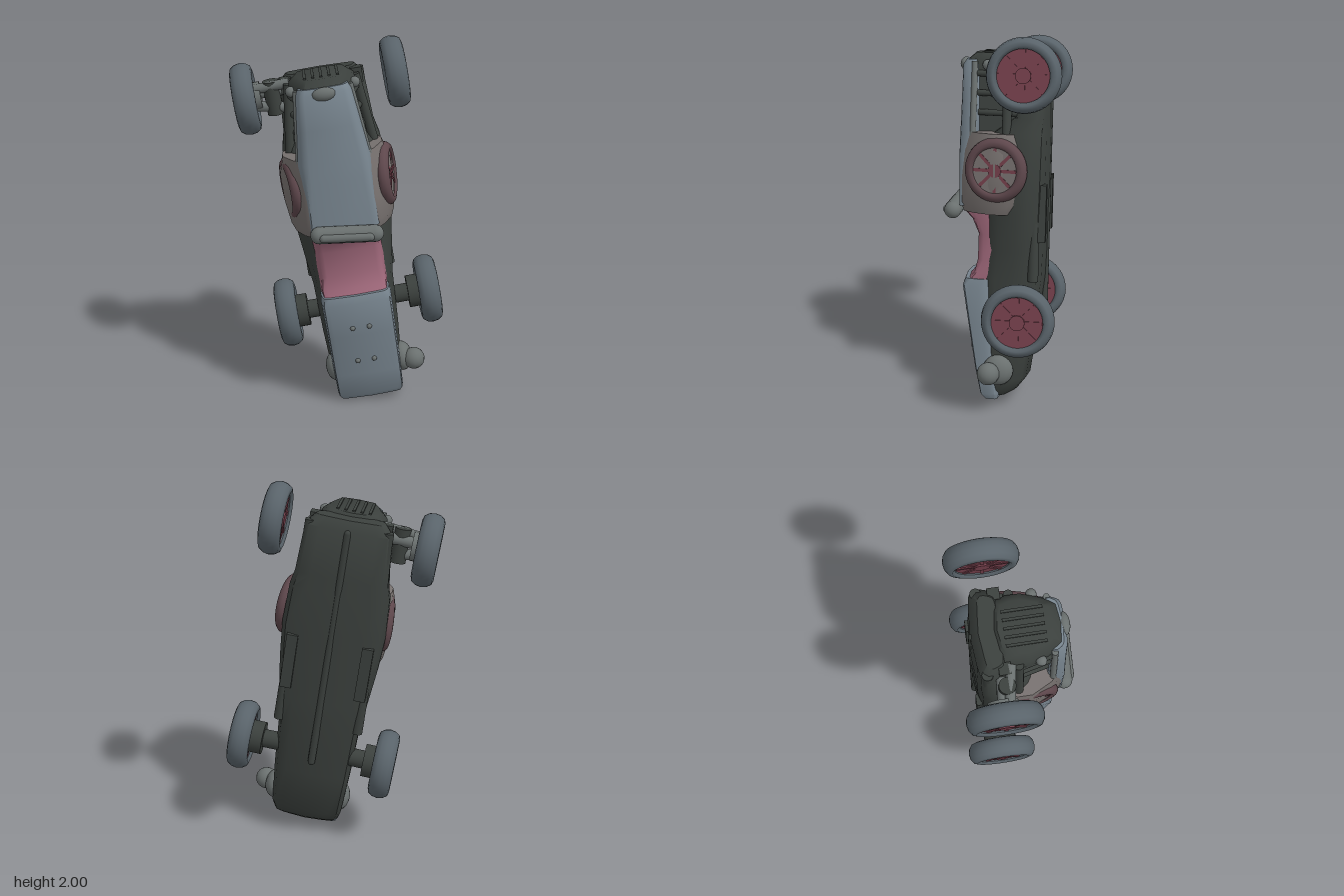
import * as THREE from 'three';
import { toCreasedNormals } from 'three/addons/utils/BufferGeometryUtils.js';

const mat = (color, extra = {}) => new THREE.MeshStandardMaterial({ color, ...extra });
const DARK = mat(0x3b403d), TIRE = mat(0x59636a), HUB = mat(0x743f4b), RIM = mat(0x5e474c);
const PAINT = mat(0x78858f), COWL = mat(0x77716f), SEAT = mat(0x9c6678), METAL = mat(0x6a706f);

function add(parent, name, geometry, material, x = 0, y = 0, z = 0) {
  const mesh = new THREE.Mesh(geometry, material);
  mesh.name = name;
  mesh.position.set(x, y, z);
  parent.add(mesh);
  return mesh;
}

// Lofts rounded sections along the car. Section: [y, floor z, top z, side half width, top half width]
function loft(sections) {
  const pos = [], idx = [];
  let n = 0;
  for (const [y, zf, zt, hw, tw] of sections) {
    const h = zt - zf;
    const half = [[hw * 0.65, zf + h * 0.01], [hw * 0.9, zf + h * 0.08], [hw, zf + h * 0.26], [hw, zf + h * 0.48],
      [tw + (hw - tw) * 0.45, zf + h * 0.78], [tw, zt - h * 0.08], [tw * 0.85, zt - h * 0.01]];
    const ring = [[0, zf - 0.01], ...half, [0, zt + 0.008], ...half.slice().reverse().map(([x, z]) => [-x, z])];
    n = ring.length;
    ring.forEach(([x, z]) => pos.push(x, y, z));
  }
  for (let s = 0; s < sections.length - 1; s++) {
    for (let i = 0; i < n; i++) {
      const a = s * n + i, b = s * n + (i + 1) % n;
      idx.push(a, a + n, b, b, a + n, b + n);
    }
  }
  const last = (sections.length - 1) * n;
  for (let i = 1; i < n - 1; i++) idx.push(0, i, i + 1, last, last + i + 1, last + i);
  const g = new THREE.BufferGeometry();
  g.setAttribute('position', new THREE.Float32BufferAttribute(pos, 3));
  g.setIndex(idx);
  return toCreasedNormals(g, 0.8);
}

// Wheel turning about the local x axis
function makeWheel(name, r, w, tireMat, discMat) {
  const g = new THREE.Group();
  g.name = name;
  const ri = r * 0.7, h = w / 2;
  const tire = [[ri, -h * 0.75], [r * 0.78, -h], [r * 0.89, -h * 0.88], [r * 0.97, -h * 0.5], [r, 0],
    [r * 0.97, h * 0.5], [r * 0.89, h * 0.88], [r * 0.78, h], [ri, h * 0.75], [ri, -h * 0.75]];
  const parts = [
    ['tire', new THREE.LatheGeometry(tire.map(p => new THREE.Vector2(...p)), 40), tireMat],
    ['rim', new THREE.CylinderGeometry(ri * 1.02, ri * 1.02, w * 0.62, 32), discMat],
    ['hub', new THREE.CylinderGeometry(ri * 0.3, ri * 0.3, w * 0.85, 16), HUB]];
  for (const [part, geometry, material] of parts) add(g, part, geometry, material).rotation.z = -Math.PI / 2;
  for (let i = 0; i < 4; i++) {
    add(g, 'spoke', new THREE.BoxGeometry(w * 0.72, ri * 1.95, r * 0.1), HUB).rotation.x = i * Math.PI / 4;
  }
  return g;
}

// Straight bar from a to b
function rod(parent, name, a, b, r, material) {
  const p = new THREE.Vector3(...a), q = new THREE.Vector3(...b);
  const m = add(parent, name, new THREE.CylinderGeometry(r, r, p.distanceTo(q), 20), material);
  m.position.copy(p).lerp(q, 0.5);
  m.quaternion.setFromUnitVectors(new THREE.Vector3(0, 1, 0), q.sub(p).normalize());
}

export function createModel() {
  const model = new THREE.Group();
  model.name = 'roadster';
  // The car stands on its tail: local x across, y toward the nose, z toward the roof
  const car = new THREE.Group();
  car.name = 'car';
  const v = new THREE.Vector3(-0.167, 0.986, 0.018).normalize();
  const w = new THREE.Vector3(0.975, 0.17, -0.14).cross(v).normalize();
  const u = v.clone().cross(w);
  car.quaternion.setFromRotationMatrix(new THREE.Matrix4().makeBasis(u, v, w));
  car.position.set(0, 1.125, -0.09);
  model.add(car);

  // The body is slightly askew to the wheels
  const body = new THREE.Group();
  body.name = 'body';
  body.position.x = 0.004;
  body.rotation.z = -0.018;
  car.add(body);

  // Underbody and side sills
  add(body, 'underbody', loft([
    [-1.1, 0.08, 0.19, 0.15, 0.15], [-1.06, 0.02, 0.2, 0.18, 0.165], [-1, -0.025, 0.2, 0.195, 0.172],
    [-0.75, -0.06, 0.21, 0.21, 0.175], [-0.46, -0.095, 0.22, 0.22, 0.178], [-0.3, -0.1, 0.2, 0.24, 0.178],
    [-0.1, -0.1, 0.2, 0.262, 0.2], [0.1, -0.105, 0.2, 0.275, 0.21], [0.32, -0.105, 0.17, 0.262, 0.2],
    [0.4, -0.1, 0.06, 0.242, 0.215], [0.66, -0.1, 0.05, 0.225, 0.2], [0.71, -0.06, 0.03, 0.18, 0.16]]), DARK);

  // Sloping tail deck
  add(body, 'tailDeck', loft([
    [-1.12, 0.12, 0.195, 0.168, 0.16], [-1.09, 0.11, 0.22, 0.182, 0.174], [-0.95, 0.12, 0.25, 0.186, 0.176],
    [-0.7, 0.14, 0.292, 0.188, 0.176], [-0.5, 0.15, 0.325, 0.19, 0.176], [-0.46, 0.15, 0.31, 0.185, 0.168]]), PAINT);
  for (const x of [-0.045, 0.045]) {
    for (const [y, z] of [[-0.86, 0.273], [-0.65, 0.307]]) add(body, 'deckLatch', new THREE.SphereGeometry(0.014, 10, 8), METAL, x, y, z);
  }

  // Open cockpit seat
  add(body, 'seat', loft([
    [-0.49, 0.1, 0.315, 0.175, 0.165], [-0.43, 0.1, 0.265, 0.182, 0.17], [-0.36, 0.1, 0.248, 0.182, 0.16],
    [-0.22, 0.1, 0.246, 0.182, 0.16], [-0.14, 0.1, 0.28, 0.185, 0.168], [-0.09, 0.1, 0.33, 0.185, 0.168]]), SEAT);

  // Cowl, dash roll and hood
  add(body, 'cowl', loft([
    [-0.1, 0.02, 0.325, 0.255, 0.18], [-0.05, -0.01, 0.345, 0.275, 0.195], [0.08, -0.03, 0.35, 0.292, 0.19],
    [0.22, -0.03, 0.35, 0.292, 0.18], [0.32, 0.0, 0.343, 0.262, 0.168]]), COWL);
  add(body, 'hood', loft([
    [-0.07, 0.3, 0.35, 0.18, 0.17], [0.2, 0.29, 0.355, 0.18, 0.158], [0.3, 0.25, 0.353, 0.188, 0.155],
    [0.48, 0.25, 0.35, 0.165, 0.135], [0.66, 0.25, 0.348, 0.142, 0.118], [0.69, 0.26, 0.33, 0.128, 0.105]]), PAINT);
  const dash = new THREE.Group();
  dash.name = 'dash';
  dash.position.set(0.005, -0.085, 0.375);
  dash.rotation.set(0, -0.06, -0.1);
  body.add(dash);
  add(dash, 'dashRoll', new THREE.CapsuleGeometry(0.045, 0.29, 8, 18), METAL).rotation.z = Math.PI / 2;
  add(dash, 'windshieldFrame', new THREE.CapsuleGeometry(0.024, 0.24, 6, 12), METAL, 0, -0.005, 0.033).rotation.z = Math.PI / 2;

  // Engine block under the hood, and the nose
  add(body, 'engine', new THREE.BoxGeometry(0.26, 0.4, 0.3), DARK, 0, 0.47, 0.13);
  add(body, 'radiator', loft([
    [0.62, 0.0, 0.32, 0.18, 0.115], [0.69, 0.0, 0.32, 0.17, 0.11], [0.725, 0.03, 0.28, 0.13, 0.09]]), DARK);
  for (let i = -2; i <= 2; i++) add(body, 'grilleBar', new THREE.BoxGeometry(0.014, 0.02, 0.2), DARK, i * 0.042, 0.722, 0.15);
  add(body, 'noseCap', new THREE.SphereGeometry(0.05, 16, 10), METAL, 0, 0.66, 0.345).scale.set(1.2, 0.7, 0.6);

  for (const s of [-1, 1]) {
    // Side frame around the engine bay
    for (const y of [0.42, 0.52, 0.62]) rod(body, 'louver', [s * 0.135, y, 0.28], [s * 0.2, y, 0.0], 0.016, DARK);
    rod(body, 'sideRail', [s * 0.225, 0.3, 0.1], [s * 0.175, 0.68, 0.1], 0.024, DARK);
    rod(body, 'hoodEdge', [s * 0.182, 0.3, 0.28], [s * 0.138, 0.68, 0.28], 0.016, METAL);
    rod(body, 'frameRail', [s * 0.215, -0.45, -0.055], [s * 0.2, 0.68, -0.055], 0.028, DARK);
    add(body, 'sillTank', new THREE.BoxGeometry(0.06, 0.3, 0.06), DARK, s * 0.2, -0.09, -0.085);
    add(body, 'noseLamp', new THREE.SphereGeometry(0.028, 12, 8), METAL, s * 0.165, 0.665, 0.21);
    add(body, 'frontMount', new THREE.BoxGeometry(0.06, 0.08, 0.06), DARK, s * 0.185, 0.66, 0.03);

    // Spare wheel sunk into the cowl side
    const spare = makeWheel('spareWheel', 0.168, 0.07, RIM, COWL);
    spare.position.set(s * 0.252 + 0.01, 0.135, 0.145);
    spare.rotation.y = s * -0.2;
    body.add(spare);

    // Tail lamp
    add(body, 'tailLamp', new THREE.SphereGeometry(0.082, 18, 12), METAL, s > 0 ? 0.2 : -0.17, -0.945, 0.12).scale.x = 0.7;

    // Rear axle and hub carriers
    rod(car, 'rearAxle', [0, -0.625, 0.01], [s * 0.37, -0.625, 0], 0.05, DARK);
    rod(car, 'rearHub', [s * 0.28, -0.625, 0], [s * 0.37, -0.625, 0], 0.09, DARK);
  }
  add(body, 'lampCap', new THREE.SphereGeometry(0.06, 16, 12), METAL, 0.262, -0.95, 0.165);

  // Road wheels
  for (const [name, x, y] of [['frontLeftWheel', 0.402, 0.625], ['frontRightWheel', -0.393, 0.62],
    ['rearLeftWheel', 0.394, -0.625], ['rearRightWheel', -0.393, -0.622]]) {
    const wheel = makeWheel(name, 0.19, 0.117, TIRE, HUB);
    wheel.position.set(x, y, 0);
    car.add(wheel);
  }

  // Front suspension, present on the right side only
  rod(car, 'frontAxle', [0.05, 0.64, 0.03], [-0.37, 0.64, 0], 0.03, METAL);
  rod(car, 'steeringArm', [-0.15, 0.54, 0.03], [-0.36, 0.58, 0.02], 0.028, METAL);
  rod(car, 'upperArm', [-0.15, 0.68, 0.06], [-0.35, 0.67, 0.03], 0.026, METAL);
  rod(car, 'spring', [-0.25, 0.52, 0.02], [-0.25, 0.7, 0.03], 0.042, DARK);
  rod(car, 'frontHub', [-0.31, 0.625, 0], [-0.37, 0.625, 0], 0.075, METAL);

  // Low spine along the underside
  add(body, 'floorSpine', new THREE.CapsuleGeometry(0.02, 1.3, 4, 10), DARK, 0, 0, -0.1);
  return model;
}
